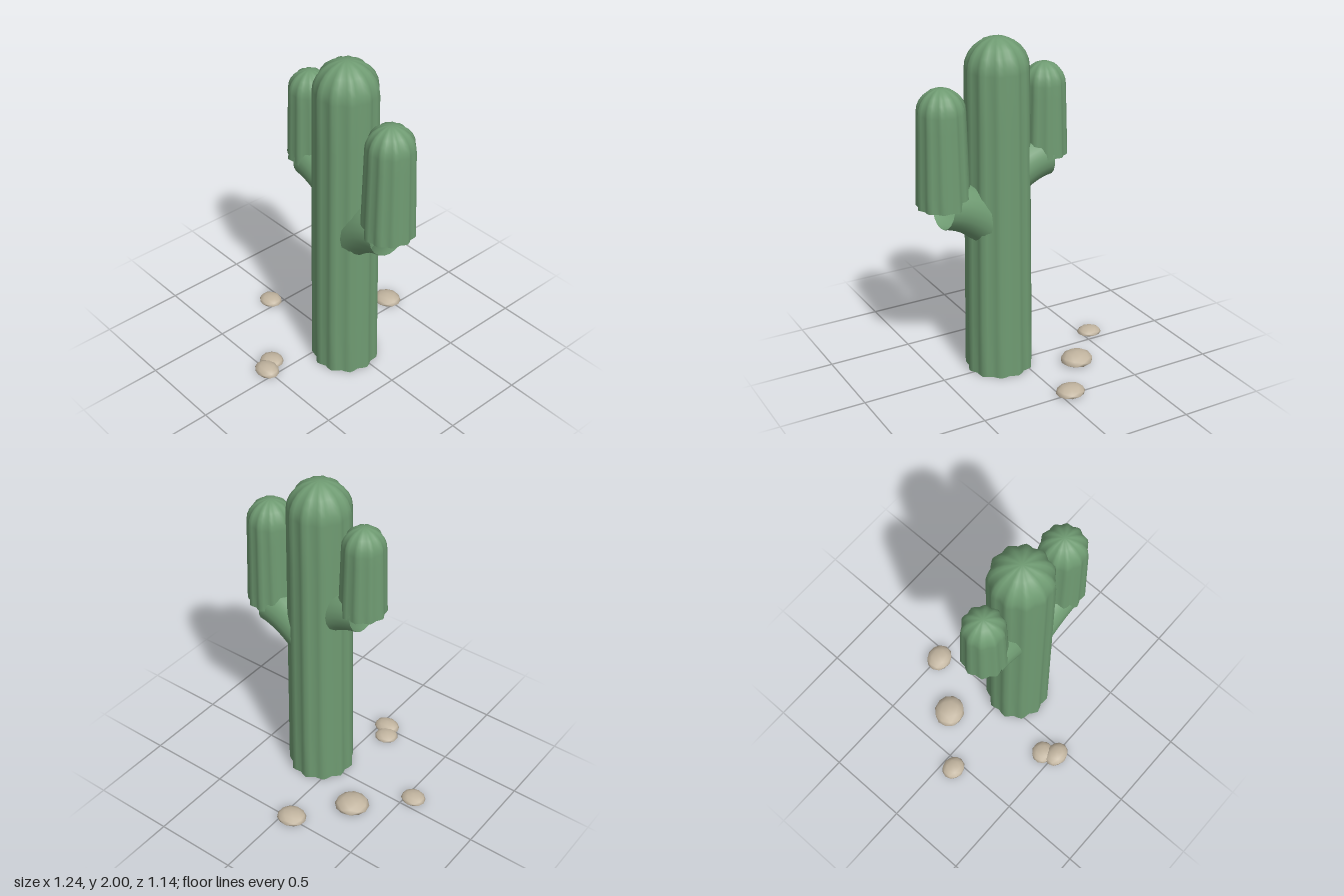
import * as THREE from 'three';
import { mergeVertices } from 'three/addons/utils/BufferGeometryUtils.js';

// Weld a geometry and give it smooth normals
function smooth(geometry) {
  geometry.deleteAttribute('normal');
  geometry.deleteAttribute('uv');
  const welded = mergeVertices(geometry, 1e-4);
  welded.computeVertexNormals();
  return welded;
}

// Open-bottomed, tapering column with a domed top and vertical ribs
function ribbedColumn(y0, y1, r0, r1, ribs, peakAngle) {
  const domeBase = y1 - r1;
  const profile = [];
  for (let i = 0; i < 6; i++) {
    const t = i / 6;
    profile.push(new THREE.Vector2(r0 + (r1 - r0) * t, y0 + (domeBase - y0) * t));
  }
  for (let i = 0; i <= 6; i++) {
    const a = (i / 6) * Math.PI / 2;
    profile.push(new THREE.Vector2(i === 6 ? 0 : r1 * Math.cos(a), domeBase + r1 * Math.sin(a)));
  }
  const geometry = new THREE.LatheGeometry(profile, ribs * 4);
  const p = geometry.attributes.position;
  for (let i = 0; i < p.count; i++) {
    const angle = Math.atan2(p.getZ(i), p.getX(i)) - peakAngle;
    const k = 1 - 0.05 * (1 - Math.cos(ribs * angle));
    p.setX(i, p.getX(i) * k);
    p.setZ(i, p.getZ(i) * k);
  }
  return smooth(geometry);
}

// Curved open tube joining an arm to the trunk, in the x-y plane
function elbow(start, bend, end, radius) {
  const [a, b, c] = [start, bend, end].map(([x, y]) => new THREE.Vector3(x, y, 0));
  return new THREE.TubeGeometry(new THREE.QuadraticBezierCurve3(a, b, c), 10, radius, 20, false);
}

// Flattened pebble resting on the ground
function pebble(rx, height, rz) {
  const geometry = smooth(new THREE.IcosahedronGeometry(1, 1));
  const p = geometry.attributes.position;
  const rest = height * 0.25;
  for (let i = 0; i < p.count; i++) {
    const y = p.getY(i);
    p.setXYZ(i, p.getX(i) * rx, rest + y * (y > 0 ? height - rest : rest), p.getZ(i) * rz);
  }
  geometry.computeVertexNormals();
  return geometry;
}

export function createModel() {
  const model = new THREE.Group();
  const green = new THREE.MeshStandardMaterial({ color: 0x6f9b72, side: THREE.DoubleSide });
  green.name = 'cactus green';
  const stone = new THREE.MeshStandardMaterial({ color: 0xc2b5a0 });
  stone.name = 'sandy stone';

  const add = (name, geometry, material, x, z) => {
    const mesh = new THREE.Mesh(geometry, material);
    mesh.name = name;
    mesh.position.set(x, 0, z);
    model.add(mesh);
    return mesh;
  };

  // Trunk and upright arms
  const cz = 0.031;
  add('trunk', ribbedColumn(0, 2, 0.201, 0.184, 11, 0), green, 0.117, cz);
  add('leftArm', ribbedColumn(1.085, 1.76, 0.154, 0.138, 11, 0), green, 0.462, cz);
  add('rightArm', ribbedColumn(1.28, 1.82, 0.137, 0.123, 10, Math.PI), green, -0.18, cz);

  // Elbows
  add('leftElbow', elbow([0.15, 0.9], [0.3, 1.06], [0.46, 1.085], 0.139), green, 0, cz);
  add('rightElbow', elbow([0.09, 1.15], [-0.04, 1.265], [-0.18, 1.28], 0.128), green, 0, cz);

  // Pebbles: x, z, x radius, z radius, height, turn
  [
    [-0.06, -0.492, 0.09, 0.079, 0.056, 0.2],
    [-0.287, -0.197, 0.104, 0.096, 0.07, 0.5],
    [-0.548, 0.072, 0.076, 0.068, 0.046, 0],
    [-0.098, 0.43, 0.073, 0.068, 0.045, 0.3],
    [-0.05, 0.505, 0.083, 0.067, 0.055, 0],
  ].forEach(([x, z, rx, rz, h, turn], i) => {
    add(`pebble${i + 1}`, pebble(rx, h, rz), stone, x, z).rotation.y = turn;
  });

  return model;
}
